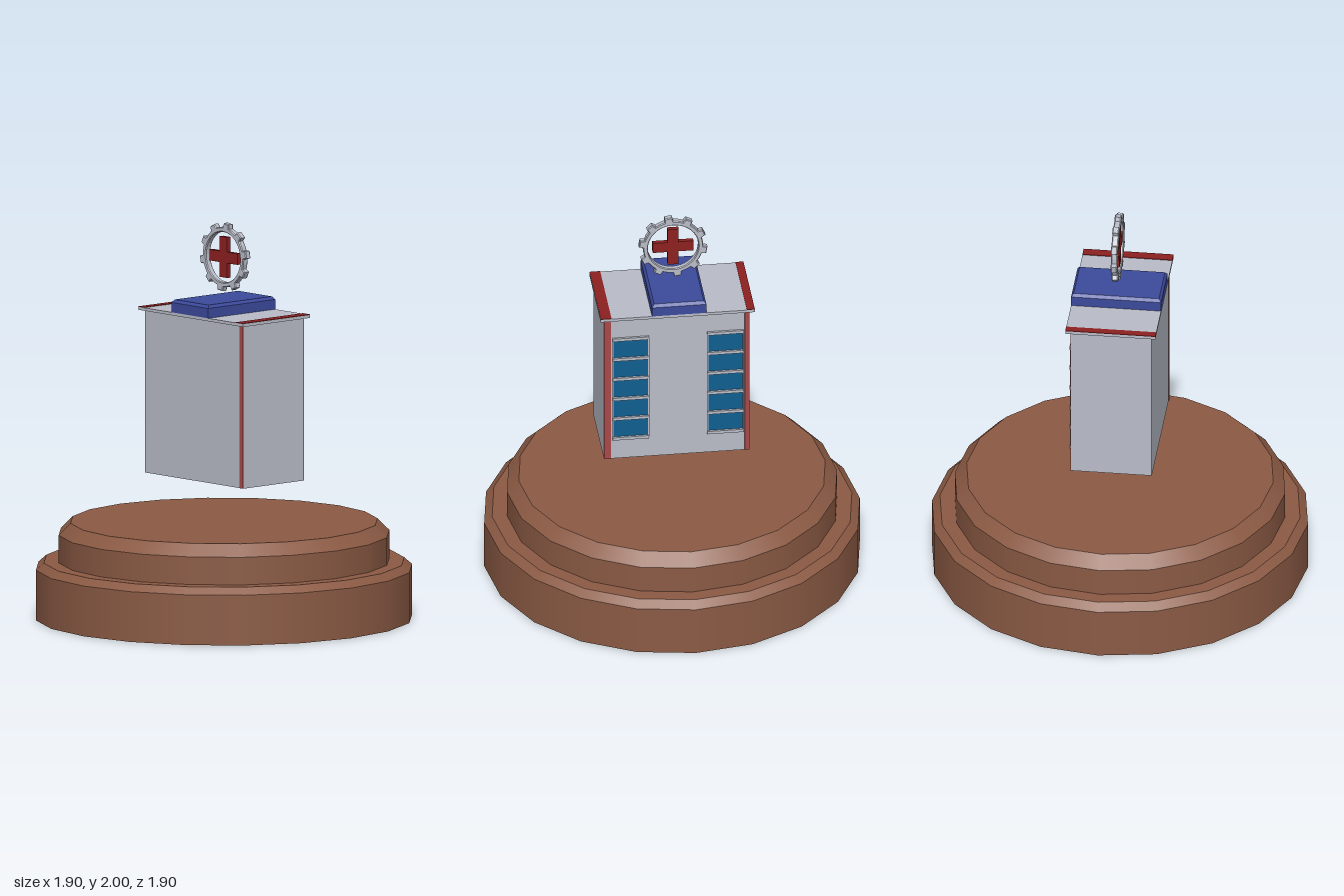
import * as THREE from 'three';

const mat = (name, color) => {
  const m = new THREE.MeshStandardMaterial({ color });
  m.name = name;
  return m;
};

export function createModel() {
  const model = new THREE.Group();
  const clay = mat('brown', 0x8b5a44);
  const wall = mat('pale grey', 0xb9bcc8);
  const blue = mat('blue', 0x3c4a9c);
  const red = mat('dark red', 0x8c2020);
  const trim = mat('faded red', 0xa8494a);
  const glass = mat('window blue', 0x0e5f91);

  const add = (name, geo, material, x = 0, y = 0, z = 0, parent = model) => {
    const mesh = new THREE.Mesh(geo, material);
    mesh.name = name;
    mesh.position.set(x, y, z);
    parent.add(mesh);
    return mesh;
  };
  // Box given by its minimum and maximum corners
  const box = (name, material, [x0, y0, z0], [x1, y1, z1], parent = model) =>
    add(name, new THREE.BoxGeometry(x1 - x0, y1 - y0, z1 - z0), material,
      (x0 + x1) / 2, (y0 + y1) / 2, (z0 + z1) / 2, parent);

  // Two-tier pedestal with bevelled rims: bottom y, top y, bottom radius, top radius
  const tiers = [
    ['lowerTier', 0, 0.255, 0.95, 0.95],
    ['lowerBevel', 0.255, 0.29, 0.95, 0.91],
    ['upperTier', 0.29, 0.43, 0.835, 0.835],
    ['upperBevel', 0.43, 0.49, 0.835, 0.775],
  ];
  for (const [name, y0, y1, r0, r1] of tiers) {
    add(name, new THREE.CylinderGeometry(r1, r0, y1 - y0, 20), clay, 0, (y0 + y1) / 2);
  }

  // Floating tower and roof slab
  box('tower', wall, [-0.204, 0.715, -0.365], [0.204, 1.54, 0.37]);
  box('roofSlab', wall, [-0.225, 1.54, -0.39], [0.23, 1.555, 0.39]);
  box('roofStripeBack', red, [-0.225, 1.555, -0.39], [0.23, 1.558, -0.35]);
  box('roofStripeFront', red, [-0.225, 1.555, 0.335], [0.23, 1.558, 0.388]);

  // Red corner strips
  box('cornerStripFront', trim, [0.204, 0.715, 0.335], [0.207, 1.54, 0.37]);
  box('cornerStripBack', trim, [0.204, 0.715, -0.365], [0.207, 1.54, -0.342]);
  box('cornerStripRear', trim, [-0.207, 0.715, 0.342], [-0.204, 1.54, 0.37]);

  // Two columns of windows on the left side
  for (const zc of [0.235, -0.244]) {
    const column = new THREE.Group();
    column.name = 'windowColumn';
    model.add(column);
    for (let i = 0; i < 5; i++) {
      const y = 0.845 + i * 0.1167;
      box('windowPane', glass, [0.204, y, zc - 0.088], [0.208, y + 0.096, zc + 0.088], column);
    }
    for (let i = 0; i < 6; i++) {
      const y = 0.835 + i * 0.1167;
      box('windowLedge', wall, [0.204, y - 0.008, zc - 0.092], [0.216, y + 0.008, zc + 0.092], column);
    }
    for (const s of [-1, 1]) {
      const z = zc + s * 0.09;
      box('windowJamb', wall, [0.204, 0.835, z - 0.003], [0.212, 1.418, z + 0.003], column);
    }
  }

  // Blue roof block with a bevelled top
  box('roofBlock', blue, [-0.225, 1.555, -0.145], [0.23, 1.605, 0.13]);
  const bevel = new THREE.BoxGeometry(0.455, 0.015, 0.275);
  const p = bevel.attributes.position;
  for (let i = 0; i < p.count; i++) {
    if (p.getY(i) > 0) {
      p.setX(i, p.getX(i) - Math.sign(p.getX(i)) * 0.012);
      p.setZ(i, p.getZ(i) - Math.sign(p.getZ(i)) * 0.012);
    }
  }
  bevel.computeVertexNormals();
  add('roofBlockBevel', bevel, blue, 0.0025, 1.6125, -0.0075);

  // Upright cogwheel emblem, drawn in its own plane and turned to face sideways
  const emblem = new THREE.Group();
  emblem.name = 'cogEmblem';
  emblem.position.set(0.011, 1.828, -0.003);
  emblem.rotation.y = Math.PI / 2;
  model.add(emblem);

  const cog = new THREE.Shape();
  const teeth = 10, step = (Math.PI * 2) / teeth;
  for (let i = 0; i < teeth; i++) {
    const a = THREE.MathUtils.degToRad(98) + i * step;
    for (const [r, f] of [[0.152, -0.5], [0.152, -0.23], [0.174, -0.17], [0.174, 0.17], [0.152, 0.23]]) {
      const x = r * Math.cos(a + f * step), y = r * Math.sin(a + f * step);
      if (i === 0 && f === -0.5) cog.moveTo(x, y);
      else cog.lineTo(x, y);
    }
  }
  cog.closePath();
  cog.holes.push(new THREE.Path().absarc(0, 0, 0.128, 0, Math.PI * 2, true));
  const cogGeo = new THREE.ExtrudeGeometry(cog, {
    depth: 0.024, bevelEnabled: true, bevelThickness: 0.005, bevelSize: 0.004,
    bevelOffset: -0.004, bevelSegments: 1, curveSegments: 20,
  });
  add('cogRing', cogGeo, wall, 0, 0, -0.012, emblem);

  // Red cross inside the ring
  const w = 0.028, l = 0.103;
  const cross = new THREE.Shape([
    [w, l], [-w, l], [-w, w], [-l, w], [-l, -w], [-w, -w],
    [-w, -l], [w, -l], [w, -w], [l, -w], [l, w], [w, w],
  ].map(([x, y]) => new THREE.Vector2(x, y)));
  add('cross', new THREE.ExtrudeGeometry(cross, { depth: 0.024, bevelEnabled: false }),
    red, 0, 0, -0.012, emblem);

  return model;
}
